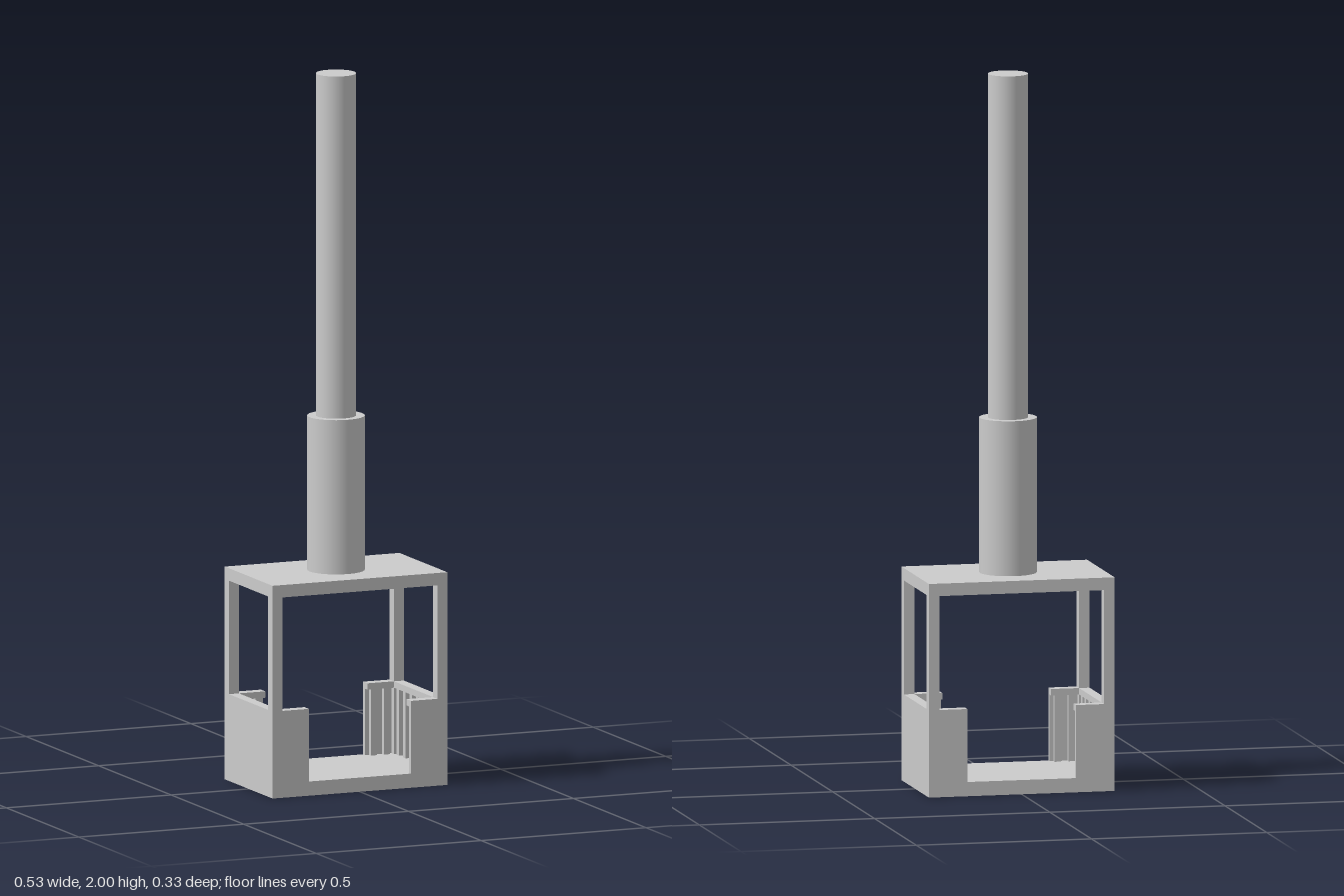
import * as THREE from 'three';

const W = 0.53, D = 0.33;            // cabin footprint
const FLOOR = 0.04, SILL = 0.245, CEIL = 0.565, ROOF = 0.6;
const POST = 0.03, SKIN = 0.014, CAP = 0.018;
const mat = new THREE.MeshStandardMaterial({ color: 0xcccccc });

function add(parent, name, geometry, x, y, z) {
  const mesh = new THREE.Mesh(geometry, mat);
  mesh.name = name;
  mesh.position.set(x, y, z);
  parent.add(mesh);
  return mesh;
}

// Box spanning from the low corner to the high corner
function block(parent, name, x0, x1, y0, y1, z0, z1) {
  return add(parent, name, new THREE.BoxGeometry(x1 - x0, y1 - y0, z1 - z0),
    (x0 + x1) / 2, (y0 + y1) / 2, (z0 + z1) / 2);
}

// Half-height wall: thin outer skin at z = 0, inner ribs toward -z, capped by a sill
function wallPanel(name, x0, x1, ribs) {
  const panel = new THREE.Group();
  panel.name = name;
  block(panel, 'skin', x0, x1, FLOOR, SILL - CAP, -SKIN, 0);
  block(panel, 'sill', x0, x1, SILL - CAP, SILL, -POST, 0);
  const pitch = (x1 - x0) / ribs, half = 0.009;
  for (let i = 0; i < ribs; i++) {
    const x = x0 + pitch * (i + 0.5);
    block(panel, 'rib', x - half, x + half, FLOOR, SILL - CAP, -POST + 0.002, -SKIN);
  }
  return panel;
}

function tube(parent, name, radius, y0, y1) {
  add(parent, name, new THREE.CylinderGeometry(radius, radius, y1 - y0, 64), 0, (y0 + y1) / 2, 0);
}

export function createModel() {
  const model = new THREE.Group();
  model.name = 'liftCabin';

  // Floor and roof slabs
  block(model, 'floor', -W / 2, W / 2, 0, FLOOR, -D / 2, D / 2);
  block(model, 'roof', -W / 2, W / 2, CEIL, ROOF, -D / 2, D / 2);

  // Corner posts
  for (const sx of [-1, 1]) for (const sz of [-1, 1]) {
    add(model, 'cornerPost', new THREE.BoxGeometry(POST, CEIL - FLOOR, POST),
      sx * (W - POST) / 2, (FLOOR + CEIL) / 2, sz * (D - POST) / 2);
  }

  // Front and back panels beside the doorways
  for (const [side, turn] of [['front', 0], ['back', Math.PI]]) {
    const wall = new THREE.Group();
    wall.name = side + 'Wall';
    wall.add(wallPanel('leftPanel', 0.155, W / 2 - POST, 2));
    wall.add(wallPanel('rightPanel', -W / 2 + POST, -0.155, 2));
    wall.children.forEach((panel) => { panel.position.z = D / 2; });
    wall.rotation.y = turn;
    model.add(wall);
  }

  // Full-width side panels
  for (const s of [-1, 1]) {
    const panel = wallPanel(s > 0 ? 'leftWall' : 'rightWall', -D / 2 + POST, D / 2 - POST, 6);
    panel.rotation.y = s * Math.PI / 2;
    panel.position.x = s * W / 2;
    model.add(panel);
  }

  // Telescoping mast
  tube(model, 'mastSleeve', 0.08, ROOF, 1.035);
  tube(model, 'mastRod', 0.056, 1.035, 2);
  return model;
}
